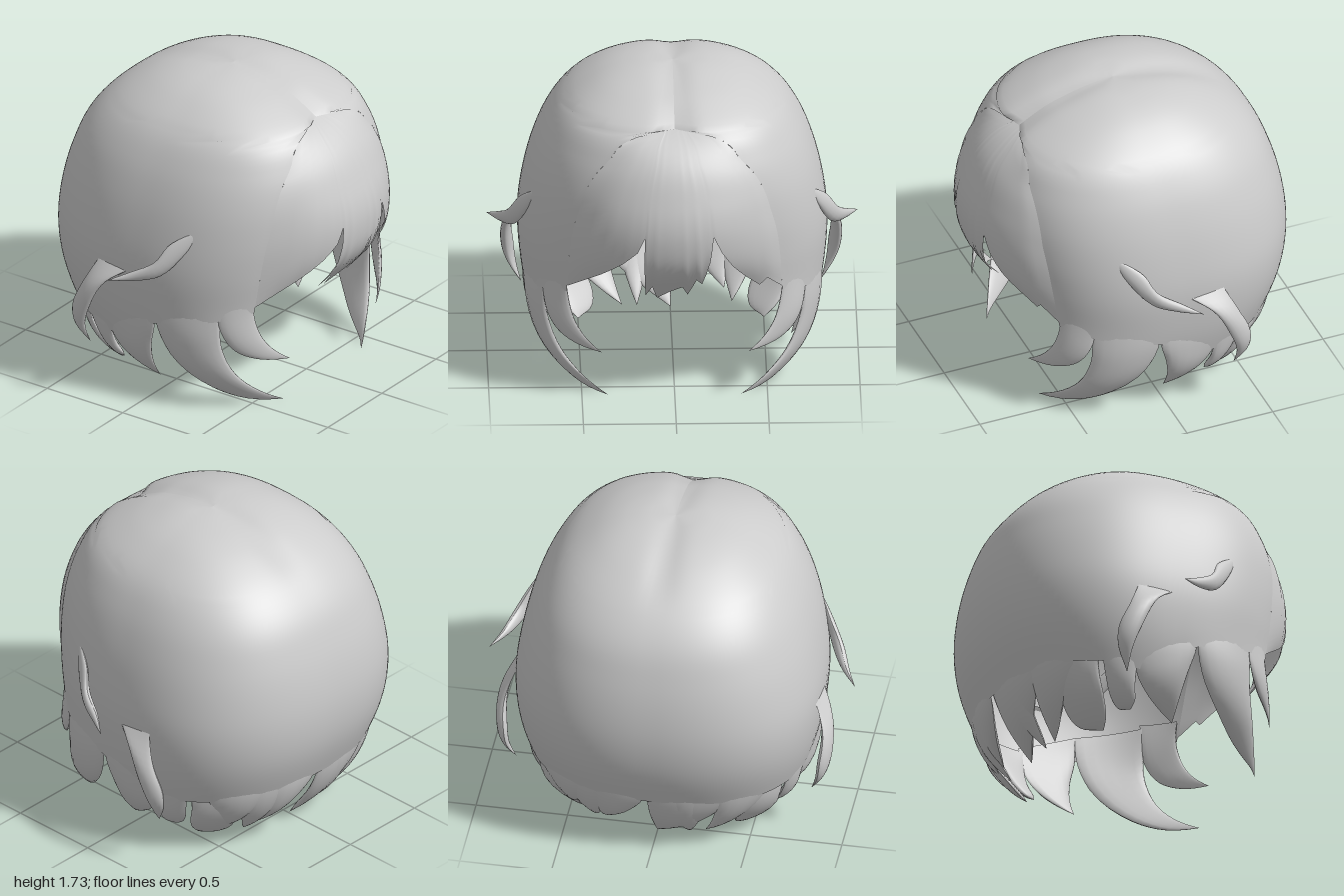
import * as THREE from 'three';

const hair = new THREE.MeshStandardMaterial({ color: 0xcccccc, side: THREE.DoubleSide });
hair.name = 'hair grey';
const P = 2.45; // roundness of the horizontal rings

// Head rings: height, back x, front x, half width
const RINGS = [
  [0, -0.54, 0.69, 0.58], [0.2, -0.69, 0.735, 0.72], [0.4, -0.79, 0.74, 0.79],
  [0.6, -0.86, 0.73, 0.825], [0.8, -0.885, 0.75, 0.835], [1.0, -0.87, 0.77, 0.81],
  [1.2, -0.82, 0.765, 0.76], [1.38, -0.74, 0.72, 0.685], [1.53, -0.60, 0.63, 0.58],
  [1.64, -0.42, 0.43, 0.43], [1.7, -0.25, 0.25, 0.29], [1.725, -0.1, 0.13, 0.15], [1.735, 0.02, 0.02, 0],
];
// Front edge of the cap: height, x
const EDGE = [[0, 0.56], [0.6, 0.57], [0.8, 0.6], [1.1, 0.64], [1.4, 0.65], [1.53, 0.62]];
// Middle of the bangs: height, x
const FRINGE = [
  [0.58, 0.66], [0.68, 0.75], [0.78, 0.83], [0.87, 0.87], [1.0, 0.885], [1.1, 0.875],
  [1.2, 0.845], [1.35, 0.78], [1.45, 0.70], [1.53, 0.59], [1.6, 0.42],
];

// Lookup in a table sorted by its first column, straight or smooth
function look(table, k, smooth = false) {
  let i = 0;
  while (i < table.length - 2 && k > table[i + 1][0]) i++;
  const a = table[i], b = table[i + 1], h = b[0] - a[0];
  const before = table[i - 1] ?? a, after = table[i + 2] ?? b;
  const t = THREE.MathUtils.clamp((k - a[0]) / h, 0, 1);
  return a.slice(1).map((v, n) => {
    const j = n + 1, line = v + (b[j] - v) * t;
    if (!smooth) return line;
    const bend0 = h * (b[j] - before[j]) / (b[0] - before[0]) - (b[j] - v);
    const bend1 = h * (after[j] - v) / (after[0] - a[0]) - (b[j] - v);
    return line + t * (1 - t) * (bend0 * (1 - t) - bend1 * t);
  });
}

function ring(y) {
  const [b, f, half] = look(RINGS, y, true);
  return { c: (b + f) / 2, a: (f - b) / 2, half };
}

const arc = (r) => Math.pow(1 - Math.pow(Math.min(Math.abs(r), 1), P), 1 / P);
const power = (v) => Math.sign(v) * Math.pow(Math.abs(v), 2 / P);

// Smooth sheet from a grid of points; rows follow the list of u values
function sheet(name, us, nv, point) {
  const pos = [], index = [];
  us.forEach((u, i) => {
    for (let j = 0; j <= nv; j++) {
      pos.push(...point(u, j / nv));
      if (i && j) {
        const d = i * (nv + 1) + j, c = d - nv - 1;
        index.push(c - 1, d - 1, d, c - 1, d, c);
      }
    }
  });
  const g = new THREE.BufferGeometry();
  g.setAttribute('position', new THREE.Float32BufferAttribute(pos, 3));
  g.setIndex(index);
  g.computeVertexNormals();
  const mesh = new THREE.Mesh(g, hair);
  mesh.name = name;
  return mesh;
}

const steps = (n) => Array.from({ length: n + 1 }, (_, i) => i / n);

// Point on the cap at height y; u runs from one front edge round the back to the other
function capPoint(u, y) {
  const { c, a, half } = ring(y);
  const r = a > 0 ? (look(EDGE, y)[0] - c) / a : 1;
  const start = y > 1.53 || r >= 1 ? 0 : Math.acos(Math.pow(r, P / 2));
  const f = start + u * 2 * (Math.PI - start);
  let x = c + a * power(Math.cos(f));
  const z = half * power(Math.sin(f));
  // Parting groove
  const groove = Math.exp(-((z / 0.08) ** 2));
  if (y > 1.3) x -= 0.05 * groove * THREE.MathUtils.smoothstep(x, 0.35, 0.62);
  return [x, y - 0.022 * groove * THREE.MathUtils.smoothstep(y, 1.5, 1.7), z];
}

function cap() {
  const hem = [[-0.8, 0.37], [-0.5, 0.35], [-0.27, 0.31], [0.07, 0.48], [0.42, 0.55], [0.58, 0.6]];
  return sheet('cap', steps(112), 40, (u, v) => {
    const low = look(hem, capPoint(u, 0.5)[0])[0];
    return capPoint(u, 1.735 - (1.735 - low) * Math.pow(v, 1.7));
  });
}

// Fringe whose sides meet the front edge of the cap and whose root tucks under the parting
function bangs() {
  // Jagged hem: z, height
  const hem = [
    [-0.6, 0.62], [-0.52, 0.7], [-0.475, 0.66], [-0.4, 0.74], [-0.33, 0.83], [-0.27, 0.93], [-0.23, 1.03],
    [-0.2, 0.88], [-0.15, 0.72], [-0.12, 0.76], [-0.07, 0.63], [-0.04, 0.7], [0.03, 0.66], [0.1, 0.6],
    [0.13, 0.7], [0.165, 0.62], [0.175, 0.8], [0.185, 1.03], [0.22, 0.94], [0.3, 0.86], [0.42, 0.76], [0.6, 0.63],
  ];
  const zs = hem.flatMap(([z], i) => (i ? [(z + hem[i - 1][0]) / 2, z] : [z]));
  return sheet('bangs', zs, 26, (z0, v) => {
    const low = look(hem, z0)[0], u = z0 / 0.6;
    const y = 1.6 - (1.6 - low) * v;
    const mid = look(FRINGE, y, true)[0];
    const side = capPoint(0, Math.min(y, 1.53));
    const half = Math.max(side[2], Math.min(0.2, (1.62 - y) * 2));
    const edge = Math.min(side[0], mid);
    return [edge + (mid - edge) * Math.pow(Math.max(0, 1 - u * u), 0.8), y, u * half];
  });
}

// Places (s, y) on the head with an outward offset
const onSide = (side) => (x, y, o) => {
  const { c, a, half } = ring(y);
  return [x, y, side * (half * arc((x - c) / a) + o)];
};
const onBack = (z, y, o) => {
  const { c, a, half } = ring(y);
  return [c - a * arc(z / half) - o, y, z];
};

// Closed lens-shaped lock between two edges of [s, y, offset], with its root sunk into the cap
function lock(name, place, thick, left, right) {
  const [a, b] = [left, right].map((e) =>
    new THREE.CatmullRomCurve3(e.map(([s, y, o = 0]) => new THREE.Vector3(s, y, o))));
  return sheet(name, steps(18), 16, (t, v) => {
    const p = a.getPoint(t).lerp(b.getPoint(t), (1 - Math.cos(v * 2 * Math.PI)) / 2);
    const bulge = thick * Math.sin(v * 2 * Math.PI) * Math.sin(Math.PI * t);
    return place(p.x, p.y, p.z + bulge - 0.02 * (1 - t) ** 3);
  });
}

function sideLocks(side) {
  const g = new THREE.Group();
  g.name = side > 0 ? 'leftLocks' : 'rightLocks';
  const on = onSide(side);
  g.add(
    lock('frontLock', on, 0.03,
      [[0.41, 0.72], [0.425, 0.5], [0.49, 0.37], [0.58, 0.31], [0.675, 0.28]],
      [[0.57, 0.72], [0.565, 0.6], [0.585, 0.48], [0.62, 0.38], [0.675, 0.28]]),
    lock('cheekLock', on, 0.035,
      [[0.07, 0.62], [0.075, 0.47], [0.14, 0.29], [0.32, 0.1], [0.45, 0.03], [0.605, 0]],
      [[0.42, 0.7], [0.425, 0.52], [0.43, 0.38], [0.47, 0.22], [0.53, 0.1], [0.605, 0]]),
    lock('earLock', on, 0.03,
      [[-0.28, 0.48], [-0.26, 0.3], [-0.19, 0.2], [-0.1, 0.13], [-0.01, 0.08]],
      [[0.07, 0.62], [0.065, 0.47], [0.025, 0.33], [0.0, 0.2], [-0.01, 0.08]]),
    lock('napeSideLock', on, 0.03,
      [[-0.46, 0.46], [-0.42, 0.3], [-0.37, 0.18], [-0.31, 0.12], [-0.25, 0.12]],
      [[-0.25, 0.46], [-0.26, 0.3], [-0.255, 0.22], [-0.24, 0.16], [-0.25, 0.12]]),
    lock('napeSweptLock', on, 0.04,
      [[-0.66, 0.38], [-0.6, 0.24], [-0.53, 0.12], [-0.45, 0.05], [-0.35, 0.03]],
      [[-0.46, 0.38], [-0.44, 0.28], [-0.40, 0.18], [-0.36, 0.09], [-0.35, 0.03]]),
    // Loose wisps standing off the surface
    lock('upperWisp', on, 0.03,
      [[0.33, 1.09, 0], [0.18, 0.99, 0.03], [0.12, 0.89, 0.06], [0.0, 0.82, 0.1], [-0.1, 0.77, 0.165]],
      [[0.33, 1.09, 0], [0.27, 0.96, 0.01], [0.15, 0.81, 0.04], [0.03, 0.775, 0.09], [-0.1, 0.77, 0.165]]),
    lock('lowerWisp', on, 0.03,
      [[-0.28, 0.79, 0.01], [-0.36, 0.63, 0.08], [-0.425, 0.48, 0.12], [-0.42, 0.37, 0.14], [-0.35, 0.25, 0.12]],
      [[-0.08, 0.77, 0.01], [-0.21, 0.67, 0.07], [-0.30, 0.5, 0.11], [-0.345, 0.37, 0.13], [-0.35, 0.25, 0.12]]),
  );
  return g;
}

function backLocks() {
  const g = new THREE.Group();
  g.name = 'backLocks';
  // Root from z, root to z, tip z, tip height
  const rows = [
    [0.62, 0.36, 0.26, 0.03], [0.44, -0.02, 0.0, 0.01], [0.3, 0.08, 0.18, 0.02],
    [-0.02, -0.34, -0.29, 0.1], [-0.24, -0.5, -0.33, 0.05], [-0.36, -0.64, -0.46, 0.12],
  ];
  for (const [z0, z1, tip, low] of rows) {
    const edge = (z) => [0, 0.3, 0.62, 0.86, 1].map((t) =>
      [z + (tip - z) * t ** 1.8, 0.46 + (low - 0.46) * t]);
    g.add(lock('napeLock', onBack, 0.03, edge(z0), edge(z1)));
  }
  return g;
}

export function createModel() {
  const model = new THREE.Group();
  model.name = 'hair';
  model.add(cap(), bangs(), sideLocks(1), sideLocks(-1), backLocks());
  return model;
}
